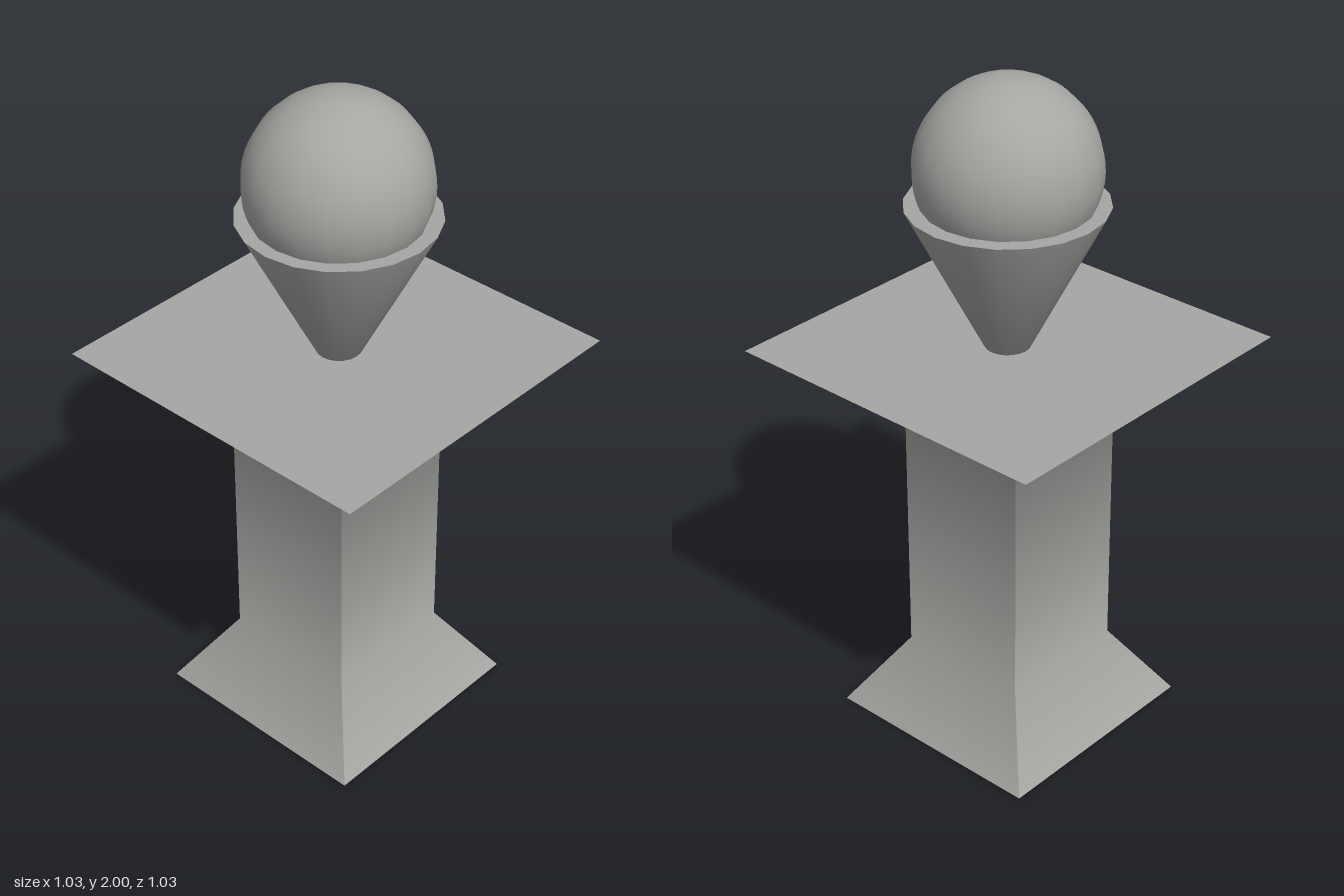
import * as THREE from 'three';

const stone = new THREE.MeshStandardMaterial({ color: 0xa6a6a3 });
stone.name = 'grey stone';

// One side of the square pedestal: a strip with normals blended along its height only
function pedestalSide(profile) {
  const slopes = [];
  for (let i = 0; i < profile.length - 1; i++) {
    const [r0, y0] = profile[i], [r1, y1] = profile[i + 1];
    slopes.push(new THREE.Vector3(0, r0 - r1, y1 - y0).normalize());
  }
  const pos = [], nor = [], idx = [];
  profile.forEach(([r, y], i) => {
    const n = slopes[Math.max(i - 1, 0)].clone().add(slopes[Math.min(i, slopes.length - 1)]).normalize();
    pos.push(-r, y, r, r, y, r);
    nor.push(n.x, n.y, n.z, n.x, n.y, n.z);
    if (i > 0) {
      const a = 2 * i - 2;
      idx.push(a, a + 1, a + 3, a, a + 3, a + 2);
    }
  });
  const g = new THREE.BufferGeometry();
  g.setAttribute('position', new THREE.Float32BufferAttribute(pos, 3));
  g.setAttribute('normal', new THREE.Float32BufferAttribute(nor, 3));
  g.setIndex(idx);
  return g;
}

export function createModel() {
  const model = new THREE.Group();
  model.name = 'pedestal with ball';
  const add = (geometry, name, parent = model) => {
    const mesh = new THREE.Mesh(geometry, stone);
    mesh.name = name;
    parent.add(mesh);
    return mesh;
  };

  // Square pedestal: flared foot, shaft and wide top, as half width and height
  const profile = [[0.35, 0], [0.208, 0.22], [0.208, 1.02], [0.517, 1.21]];
  const pedestal = new THREE.Group();
  pedestal.name = 'pedestal';
  model.add(pedestal);
  const side = pedestalSide(profile);
  for (let i = 0; i < 4; i++) add(side, 'pedestalSide', pedestal).rotation.y = i * Math.PI / 2;

  // Flat top and underside
  const top = add(new THREE.PlaneGeometry(1.034, 1.034), 'pedestalTop', pedestal);
  top.rotation.x = -Math.PI / 2;
  top.position.y = 1.21;
  const base = add(new THREE.PlaneGeometry(0.7, 0.7), 'pedestalUnderside', pedestal);
  base.rotation.x = Math.PI / 2;

  // Upside-down cone sunk into the top, its shading rounded towards the tip
  const segments = 20, tipY = 1.08, rimY = 1.64;
  const cone = new THREE.ConeGeometry(0.283, rimY - tipY, segments);
  for (let i = 0; i <= segments; i++) cone.attributes.normal.setXYZ(i, 0, 1, 0);
  cone.rotateX(Math.PI);
  add(cone, 'coneHolder').position.set(0.003, (rimY + tipY) / 2, 0.004);

  // Ball resting in the cone
  add(new THREE.SphereGeometry(0.26, segments, 32), 'ball').position.set(0, 1.74, 0.005);

  return model;
}
